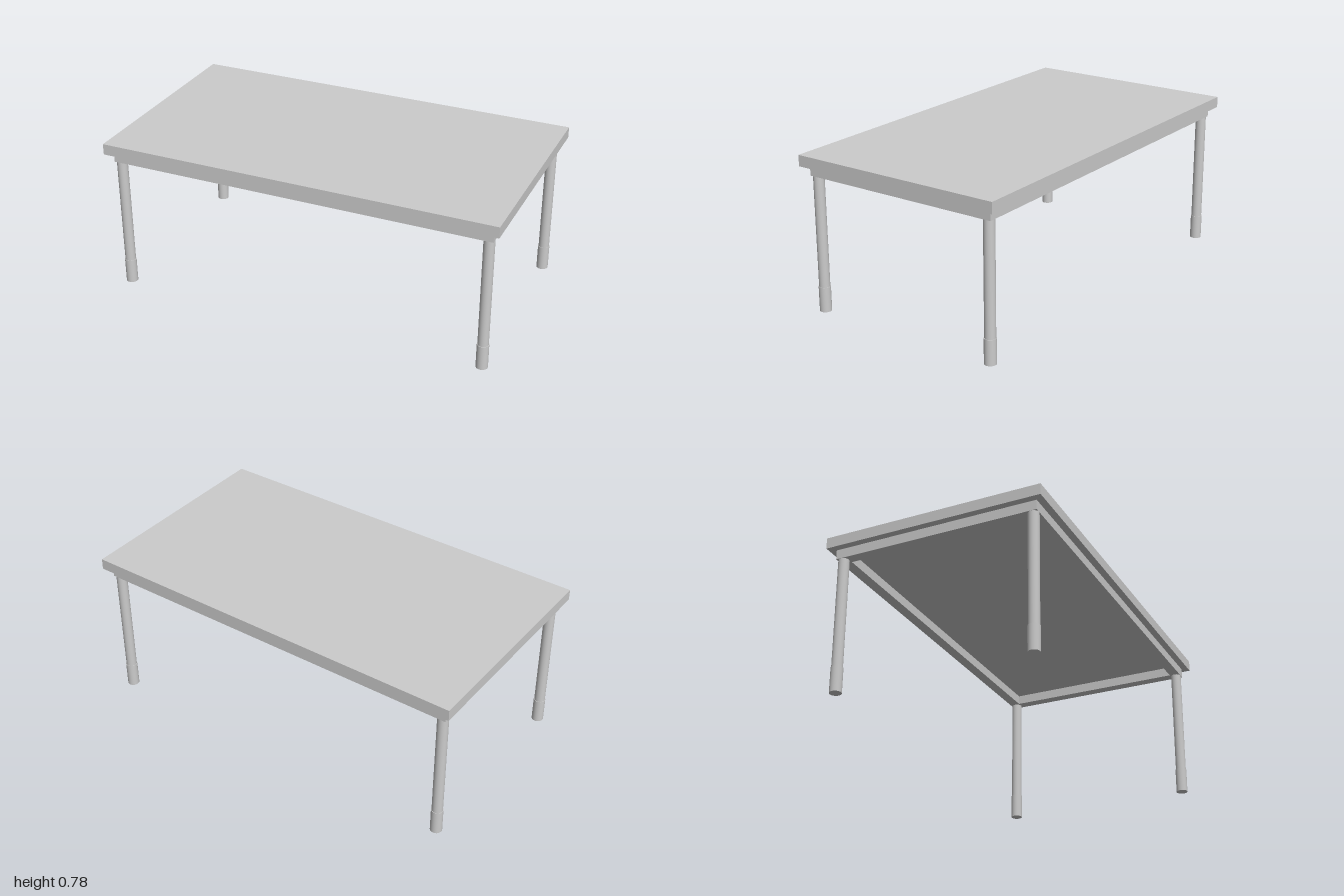
import * as THREE from 'three';

const material = new THREE.MeshStandardMaterial({ color: 0xcccccc });

function add(parent, name, geometry, x, y, z) {
  const mesh = new THREE.Mesh(geometry, material);
  mesh.name = name;
  mesh.position.set(x, y, z);
  parent.add(mesh);
  return mesh;
}

export function createModel() {
  const table = new THREE.Group();
  table.name = 'table';

  const topY = 0.782, topBottom = 0.727, apronBottom = 0.679;
  const outerX = 0.965, outerZ = 0.515, rail = 0.053;
  const footHeight = 0.125, legRadius = 0.0265, footRadius = 0.029;

  // Flat top slab
  add(table, 'tabletop', new THREE.BoxGeometry(2, topY - topBottom, 1.1), 0, (topY + topBottom) / 2, 0);

  // Apron: one rectangular frame under the top
  const frame = new THREE.Shape([
    new THREE.Vector2(-outerX, -outerZ), new THREE.Vector2(outerX, -outerZ),
    new THREE.Vector2(outerX, outerZ), new THREE.Vector2(-outerX, outerZ),
  ]);
  const ix = outerX - rail, iz = outerZ - rail;
  frame.holes.push(new THREE.Path([
    new THREE.Vector2(-ix, -iz), new THREE.Vector2(-ix, iz),
    new THREE.Vector2(ix, iz), new THREE.Vector2(ix, -iz),
  ]));
  const apron = new THREE.ExtrudeGeometry(frame, { depth: topBottom - apronBottom, bevelEnabled: false });
  apron.rotateX(-Math.PI / 2);
  add(table, 'apron', apron, 0, apronBottom, 0);

  // Round legs with slightly wider feet at the four corners
  const legHeight = apronBottom - footHeight;
  const legGeometry = new THREE.CylinderGeometry(legRadius, legRadius, legHeight, 32);
  const footGeometry = new THREE.CylinderGeometry(footRadius, footRadius, footHeight, 32);
  for (const sx of [-1, 1]) {
    for (const sz of [-1, 1]) {
      const leg = new THREE.Group();
      leg.name = (sz > 0 ? 'front' : 'back') + (sx > 0 ? 'Left' : 'Right') + 'Leg';
      leg.position.set(sx * (outerX - legRadius), 0, sz * (outerZ - legRadius));
      add(leg, 'legTube', legGeometry, 0, footHeight + legHeight / 2, 0);
      add(leg, 'foot', footGeometry, 0, footHeight / 2, 0);
      table.add(leg);
    }
  }
  return table;
}
